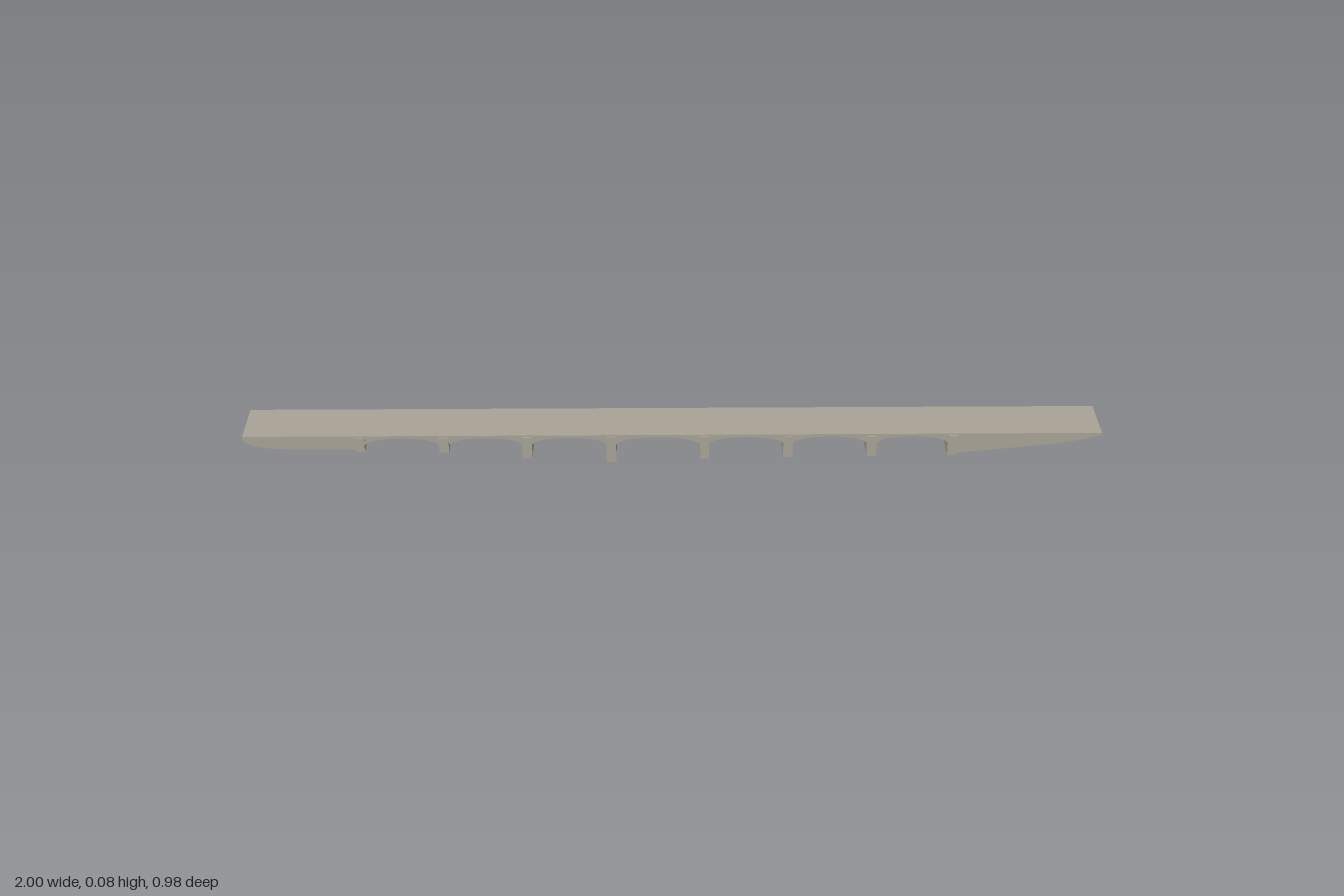
import * as THREE from 'three';

const TOP = 0.075, WIDTH = 0.133, HALF = 1.063;
const SPRING = 0.047, RISE = 0.021, PIER = 0.024;

// pier centre along the bridge, and height of its foot
const PIERS = [
  [-0.774, 0.033], [-0.566, 0.03], [-0.36, 0.011], [-0.152, 0],
  [0.078, 0.008], [0.286, 0.012], [0.493, 0.014], [0.694, 0.015],
];

export function createModel() {
  const model = new THREE.Group();
  const bridge = new THREE.Group();
  bridge.name = 'bridge';
  const stone = new THREE.MeshStandardMaterial({ color: 0xaaa497, flatShading: true });

  const add = (name, geometry) => {
    const mesh = new THREE.Mesh(geometry, stone);
    mesh.name = name;
    bridge.add(mesh);
    return mesh;
  };

  // side profile: deck, curved abutments and the row of arches
  const s = new THREE.Shape();
  s.moveTo(HALF, TOP);
  s.lineTo(-HALF, TOP);
  const leftEnd = [[-HALF, 0.064], [-1.05, 0.054], [-1.03, 0.046], [-1.0, 0.041], [-0.95, 0.038], [-0.774, 0.037]];
  leftEnd.forEach(([x, y]) => s.lineTo(x, y));
  for (let i = 0; i < PIERS.length - 1; i++) {
    const a = PIERS[i][0] + PIER / 2, b = PIERS[i + 1][0] - PIER / 2;
    if (i === 0) s.lineTo(a, 0.037);
    for (let k = 0; k <= 16; k++) {
      const t = Math.PI * (1 - k / 16);
      s.lineTo((a + b) / 2 + Math.cos(t) * (b - a) / 2, SPRING + RISE * Math.sin(t));
    }
  }
  const rightEnd = [[0.682, 0.019], [0.71, 0.02], [0.85, 0.034], [0.95, 0.045], [1.01, 0.055], [1.045, 0.063], [HALF, 0.069]];
  rightEnd.forEach(([x, y]) => s.lineTo(x, y));
  const body = new THREE.ExtrudeGeometry(s, { depth: WIDTH, bevelEnabled: false });
  body.translate(0, 0, -WIDTH / 2);
  add('deckAndArches', body);

  // piers standing slightly proud of both side walls
  PIERS.forEach(([x, foot], i) => {
    const top = 0.071;
    const pier = add('pier' + (i + 1), new THREE.BoxGeometry(PIER, top - foot, WIDTH + 0.009));
    pier.position.set(x, (top + foot) / 2, 0);
  });

  // the bridge runs diagonally
  bridge.rotation.y = THREE.MathUtils.degToRad(23.85);
  model.add(bridge);
  return model;
}
